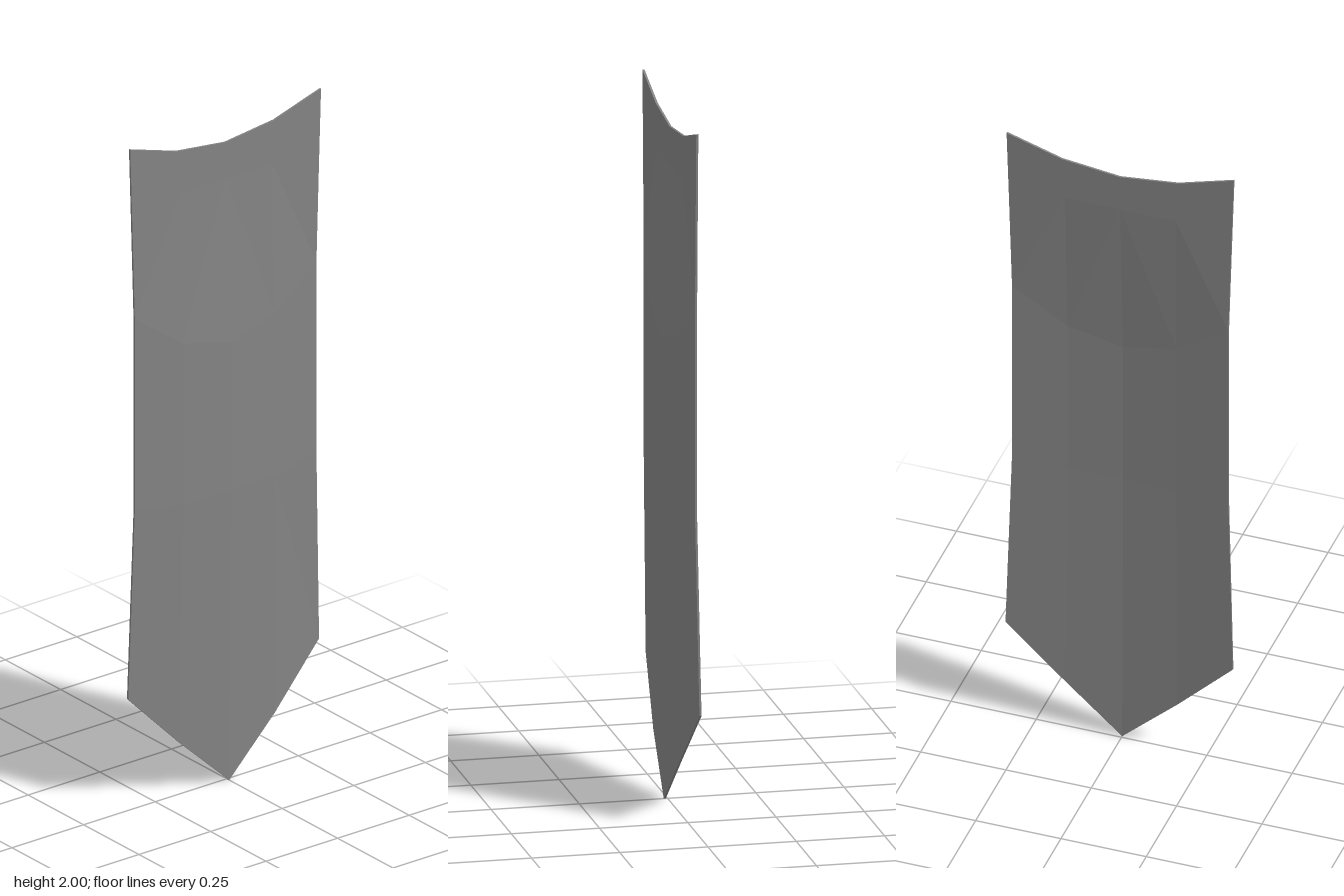
import * as THREE from 'three';

// Rows from hem tip to top edge; each holds [x, y, z] for centre, middle and outer columns
const ROWS = [
  [[0, 0, 0.008], [0.165, 0.155, 0], [0.333, 0.328, -0.017]],
  [[0, 0.88, 0.016], [0.16, 0.88, 0.007], [0.317, 0.9, -0.008]],
  [[0, 1.33, 0.016], [0.16, 1.37, 0.007], [0.317, 1.48, -0.008]],
  [[0, 1.82, -0.008], [0.162, 1.82, -0.008], [0.326, 1.78, -0.008]],
  [[0, 1.93, -0.008], [0.17, 1.95, -0.008], [0.333, 2, -0.008]],
];
const THICKNESS = 0.006;

export function createModel() {
  const group = new THREE.Group();
  group.name = 'banner';

  // Thin slab whose grid is bent into the pointed, gently bowed cloth
  const geometry = new THREE.BoxGeometry(4, 4, THICKNESS, 4, 4, 1);
  const pos = geometry.attributes.position;
  const normal = geometry.attributes.normal;

  // Mirror the folds: every crease runs from the upper inner to the lower outer corner
  const index = geometry.index.array;
  for (let i = 0; i < index.length; i += 6) {
    const [a, b, d, , c] = index.slice(i, i + 6);
    const middleX = (pos.getX(a) + pos.getX(c)) / 2;
    if (normal.getZ(a) * middleX > 0) index.set([a, b, c, a, c, d], i);
  }

  for (let i = 0; i < pos.count; i++) {
    const col = Math.round(pos.getX(i));
    const row = Math.round(pos.getY(i)) + 2;
    const [x, y, z] = ROWS[row][Math.abs(col)];
    pos.setXYZ(i, Math.sign(col) * x, y, z + pos.getZ(i));
  }
  geometry.computeVertexNormals();

  const cloth = new THREE.Mesh(
    geometry,
    new THREE.MeshStandardMaterial({ color: 0x848484, flatShading: true })
  );
  cloth.name = 'cloth';
  group.add(cloth);
  return group;
}
